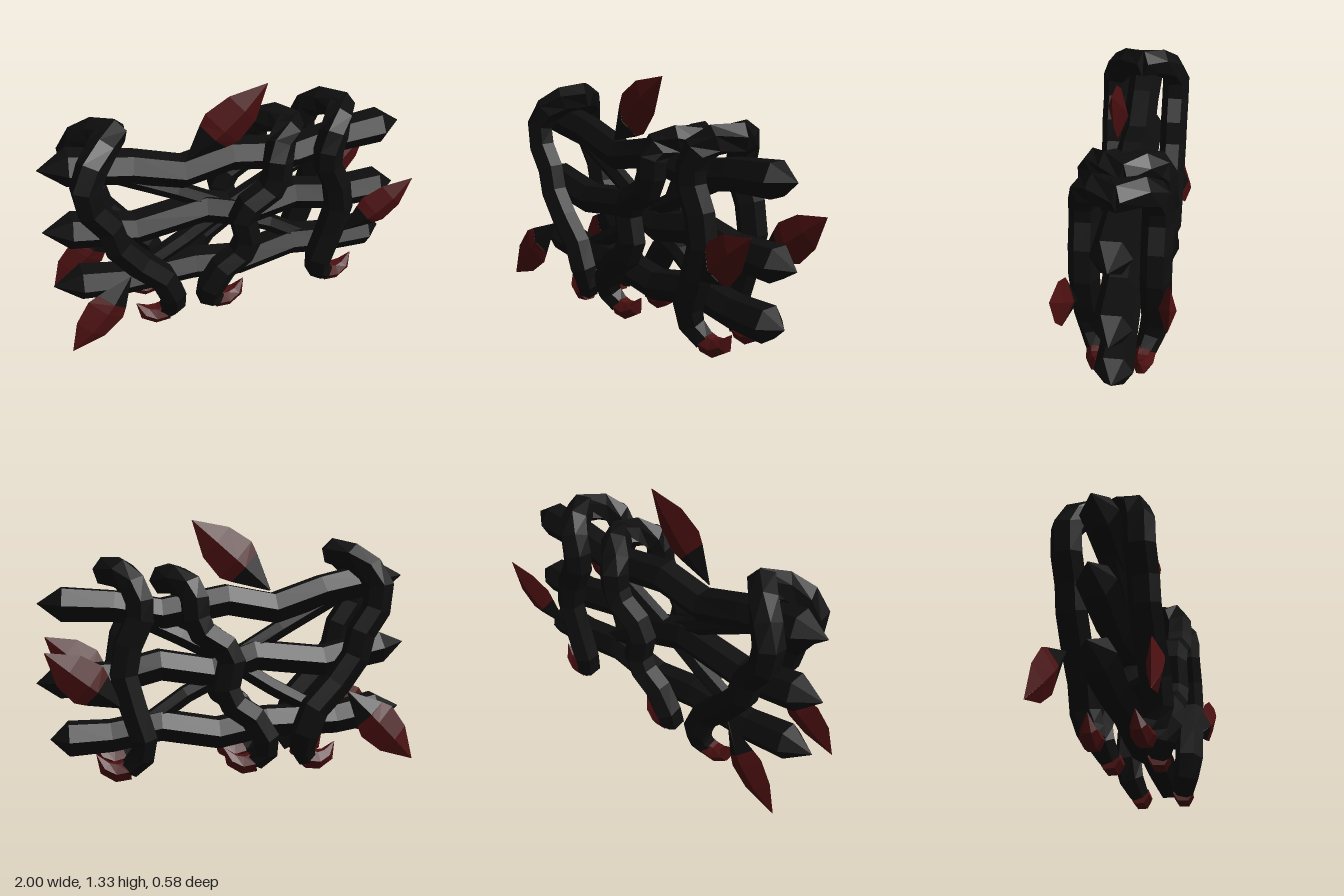
import * as THREE from 'three';

const mat = (name, color) => {
  const m = new THREE.MeshStandardMaterial({ color, flatShading: true });
  m.name = name;
  return m;
};

// Sweep a polygon along a path; each radius is r or [alongZ, inPlane].
function sweep(points, radii, sides) {
  const P = points.map(([x, y, z = 0]) => new THREE.Vector3(x, y, z));
  const pos = [], idx = [], n = P.length;
  P.forEach((p, i) => {
    const T = new THREE.Vector3();
    if (i > 0) T.add(p.clone().sub(P[i - 1]).normalize());
    if (i < n - 1) T.add(P[i + 1].clone().sub(p).normalize());
    T.normalize();
    const N = new THREE.Vector3(0, 0, 1).addScaledVector(T, -T.z).normalize();
    const B = T.clone().cross(N);
    const r = Array.isArray(radii) ? radii[i] : radii;
    const [rn, rb] = Array.isArray(r) ? r : [r, r];
    for (let j = 0; j < sides; j++) {
      const a = (j / sides) * Math.PI * 2;
      const v = p.clone().addScaledVector(N, rn * Math.cos(a)).addScaledVector(B, rb * Math.sin(a));
      pos.push(v.x, v.y, v.z);
    }
  });
  for (let i = 0; i < n - 1; i++) {
    for (let j = 0; j < sides; j++) {
      const a = i * sides + j, b = i * sides + (j + 1) % sides;
      idx.push(a, b, b + sides, a, b + sides, a + sides);
    }
  }
  // End caps
  for (let j = 1; j < sides - 1; j++) {
    const e = (n - 1) * sides;
    idx.push(0, j + 1, j, e, e + j, e + j + 1);
  }
  const g = new THREE.BufferGeometry();
  g.setAttribute('position', new THREE.Float32BufferAttribute(pos, 3));
  g.setIndex(idx);
  g.computeVertexNormals();
  return g;
}

export function createModel() {
  const root = new THREE.Group();
  root.name = 'thornFence';
  const bark = mat('blackBark', 0x0e0e0e);
  const red = mat('darkRed', 0x4c1011);

  const add = (parent, name, points, radii, sides, material) => {
    const mesh = new THREE.Mesh(sweep(points, radii, sides), material);
    mesh.name = name;
    parent.add(mesh);
  };

  // Three crooked rails with pointed ends
  const rails = {
    topRail: [[-0.98, 1.035], [-0.84, 1.025], [-0.53, 0.96], [-0.26, 0.87], [0, 0.92], [0.35, 0.855], [0.6, 0.9], [0.86, 0.915], [0.98, 0.92]],
    middleRail: [[-1, 0.665], [-0.86, 0.645], [-0.53, 0.575], [-0.15, 0.62], [0.08, 0.535], [0.36, 0.585], [0.6, 0.525], [0.88, 0.52], [0.995, 0.51]],
    bottomRail: [[-0.985, 0.3], [-0.84, 0.295], [-0.6, 0.25], [-0.22, 0.25], [0.05, 0.2], [0.36, 0.26], [0.62, 0.215], [0.84, 0.21], [0.935, 0.21]],
  };
  for (const [name, pts] of Object.entries(rails)) {
    const radii = pts.map((_, i) => (i === 0 || i === pts.length - 1 ? 0.001 : i === 1 || i === pts.length - 2 ? 0.097 : 0.09));
    add(root, name, pts, radii, 6, bark);
  }

  // Thin diagonal branches between the rails
  [
    [[-0.64, 0.95], [-0.3, 0.76], [0, 0.58]],
    [[0.56, 0.88], [0.25, 0.73], [0, 0.6]],
    [[-0.56, 0.27], [-0.25, 0.44], [0, 0.6]],
    [[0.45, 0.26], [0.22, 0.42], [0, 0.53]],
  ].forEach((pts, i) => add(root, 'diagonalBranch' + (i + 1), pts, 0.05, 6, bark));

  // Winding vines, listed from the crest down to the hook: x, y, z
  const vines = [
    { hook: -1, pts: [[-0.59, 1.165, -0.02], [-0.67, 1.14, 0.08], [-0.74, 1.08, 0.145], [-0.785, 0.99, 0.175], [-0.77, 0.87, 0.175],
      [-0.69, 0.75, 0.175], [-0.66, 0.62, 0.175], [-0.56, 0.48, 0.175], [-0.44, 0.35, 0.175], [-0.39, 0.22, 0.175], [-0.38, 0.13, 0.15], [-0.41, 0.066, 0.125]] },
    { hook: 1, pts: [[0.34, 1.03, -0.02], [0.28, 1.035, 0.08], [0.22, 1.0, 0.145], [0.2, 0.94, 0.175], [0.195, 0.85, 0.175], [0.16, 0.77, 0.175],
      [0.05, 0.7, 0.175], [0.01, 0.62, 0.175], [0.04, 0.48, 0.175], [0, 0.39, 0.175], [-0.1, 0.32, 0.175], [-0.17, 0.21, 0.175], [-0.18, 0.13, 0.15], [-0.125, 0.066, 0.125]] },
    { hook: 1, pts: [[0.63, 1.08, -0.02], [0.56, 1.07, 0.1], [0.51, 1.02, 0.16], [0.48, 0.94, 0.175], [0.48, 0.85, 0.175], [0.54, 0.72, 0.175],
      [0.565, 0.57, 0.175], [0.52, 0.4, 0.175], [0.47, 0.24, 0.175], [0.475, 0.14, 0.155], [0.54, 0.066, 0.125]] },
  ];

  // Leaf: black base and red blade
  const leaf = (parent, name, base, tip, thick, width) => {
    const at = (t, lift = 0) => base.map((b, i) => b + (tip[i] - b) * t + (i === 2 ? lift : 0));
    const group = new THREE.Group();
    group.name = name;
    parent.add(group);
    const bulge = Math.sign(base[2]) * 0.01;
    add(group, 'leafBase', [at(0), at(0.33, bulge)], [[0.004, 0.004], [thick * 0.9, width * 0.8]], 4, bark);
    add(group, 'leafBlade', [at(0.33, bulge), at(0.44, bulge), at(0.69, bulge), at(1)],
      [[thick * 0.9, width * 0.8], [thick, width], [thick * 0.8, width * 0.82], [0.001, 0.001]], 4, red);
  };

  // Mirrored vines, hooked claws and side leaves on front and back
  for (const side of [1, -1]) {
    const face = new THREE.Group();
    face.name = side > 0 ? 'frontVines' : 'backVines';
    root.add(face);
    const flip = (pts) => pts.map(([x, y, z]) => [x, y, z * side]);
    vines.forEach(({ hook, pts }, i) => {
      const radii = pts.map((_, k) => (k === pts.length - 1 ? 0.056 : k === pts.length - 2 ? 0.07 : 0.078));
      add(face, 'vine' + (i + 1), flip(pts), radii, 6, bark);
      const [x, y, z] = pts[pts.length - 1];
      const claw = [[0, 0], [0.065, -0.014], [0.125, 0.012], [0.165, 0.078]].map(([dx, dy], k) => [x + hook * dx, y + dy, z - k * 0.005]);
      add(face, 'claw' + (i + 1), flip(claw), [0.057, 0.054, 0.04, 0.002], 6, red);
    });
    leaf(face, 'leftLeaf', [0.58, 0.41, 0.21 * side], [0.95, 0.71, 0.265 * side], 0.042, 0.115);
    leaf(face, 'rightLeaf', [-0.61, 0.44, 0.21 * side], [-0.96, 0.07, 0.265 * side], 0.042, 0.115);
  }

  // Single large leaf standing on the top rail
  leaf(root, 'crestLeaf', [-0.25, 0.96, 0.05], [0.17, 1.335, 0.08], 0.042, 0.13);
  return root;
}
